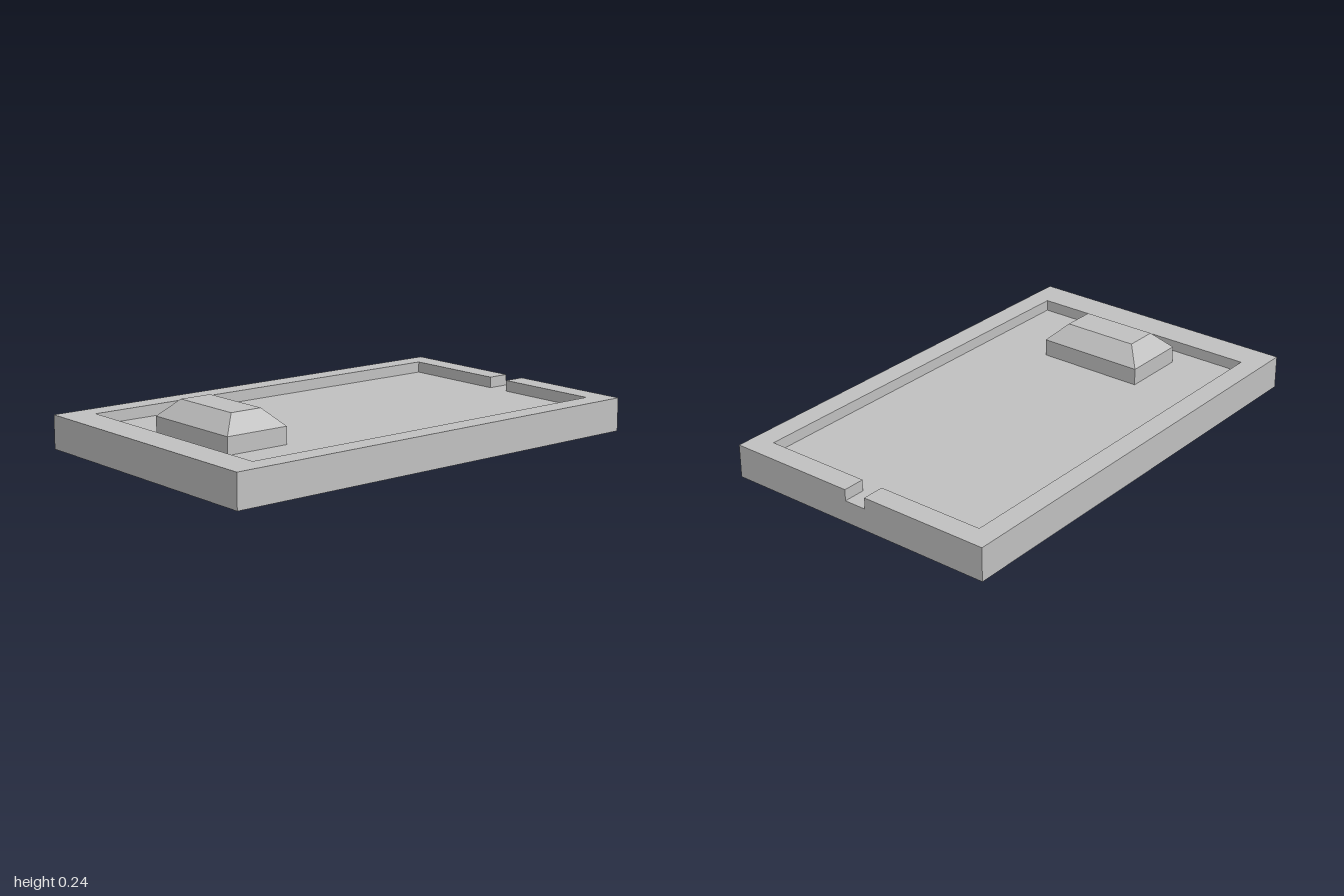
import * as THREE from 'three';

const HALF_X = 1, HALF_Z = 0.618;         // outer footprint
const FLOOR_Y = 0.095, RIM_Y = 0.143;     // recess floor and rim top
const LEFT = -0.86, RIGHT = 0.903, SIDE = 0.525; // recess limits
const NOTCH = 0.049;                      // half width of the outlet slot

const grey = new THREE.MeshStandardMaterial({ color: 0xc0c0c0 });
grey.name = 'light grey';
grey.flatShading = true;

function part(name, geometry) {
  const mesh = new THREE.Mesh(geometry, grey);
  mesh.name = name;
  return mesh;
}

// Solid slab under the recess
function makeBase() {
  const geometry = new THREE.BoxGeometry(2 * HALF_X, FLOOR_Y, 2 * HALF_Z);
  return part('base', geometry.translate(0, FLOOR_Y / 2, 0));
}

// Raised C-shaped border, open at the slot on the +x side
function makeRim() {
  const half = [
    [HALF_X, NOTCH], [HALF_X, HALF_Z], [-HALF_X, HALF_Z],
  ];
  const inner = [
    [RIGHT, -NOTCH], [RIGHT, -SIDE], [LEFT, -SIDE],
    [LEFT, SIDE], [RIGHT, SIDE], [RIGHT, NOTCH],
  ];
  const mirrored = half.map(([x, z]) => [x, -z]).reverse();
  const outline = [...half, ...mirrored, ...inner];
  const shape = new THREE.Shape(outline.map(([x, z]) => new THREE.Vector2(x, z)));
  const geometry = new THREE.ExtrudeGeometry(shape, {
    depth: RIM_Y - FLOOR_Y, bevelEnabled: false,
  });
  geometry.rotateX(-Math.PI / 2).translate(0, FLOOR_Y, 0);
  return part('rim', geometry);
}

// Block with upright sides below and sloping sides above
function makeBlock() {
  const hx = 0.142, hz = 0.238, inset = 0.071;
  const levels = [FLOOR_Y, 0.168, 0.239];
  const geometry = new THREE.BoxGeometry(2 * hx, 2, 2 * hz, 1, 2, 1);
  const p = geometry.attributes.position;
  for (let i = 0; i < p.count; i++) {
    const level = Math.round(p.getY(i)) + 1;
    const shrink = level === 2 ? inset : 0;
    p.setXYZ(i,
      Math.sign(p.getX(i)) * (hx - shrink),
      levels[level],
      Math.sign(p.getZ(i)) * (hz - shrink));
  }
  const flat = geometry.toNonIndexed();
  flat.computeVertexNormals();
  return part('raisedBlock', flat.translate(-0.619, 0, 0));
}

export function createModel() {
  const model = new THREE.Group();
  model.name = 'tray';
  model.add(makeBase(), makeRim(), makeBlock());
  return model;
}
